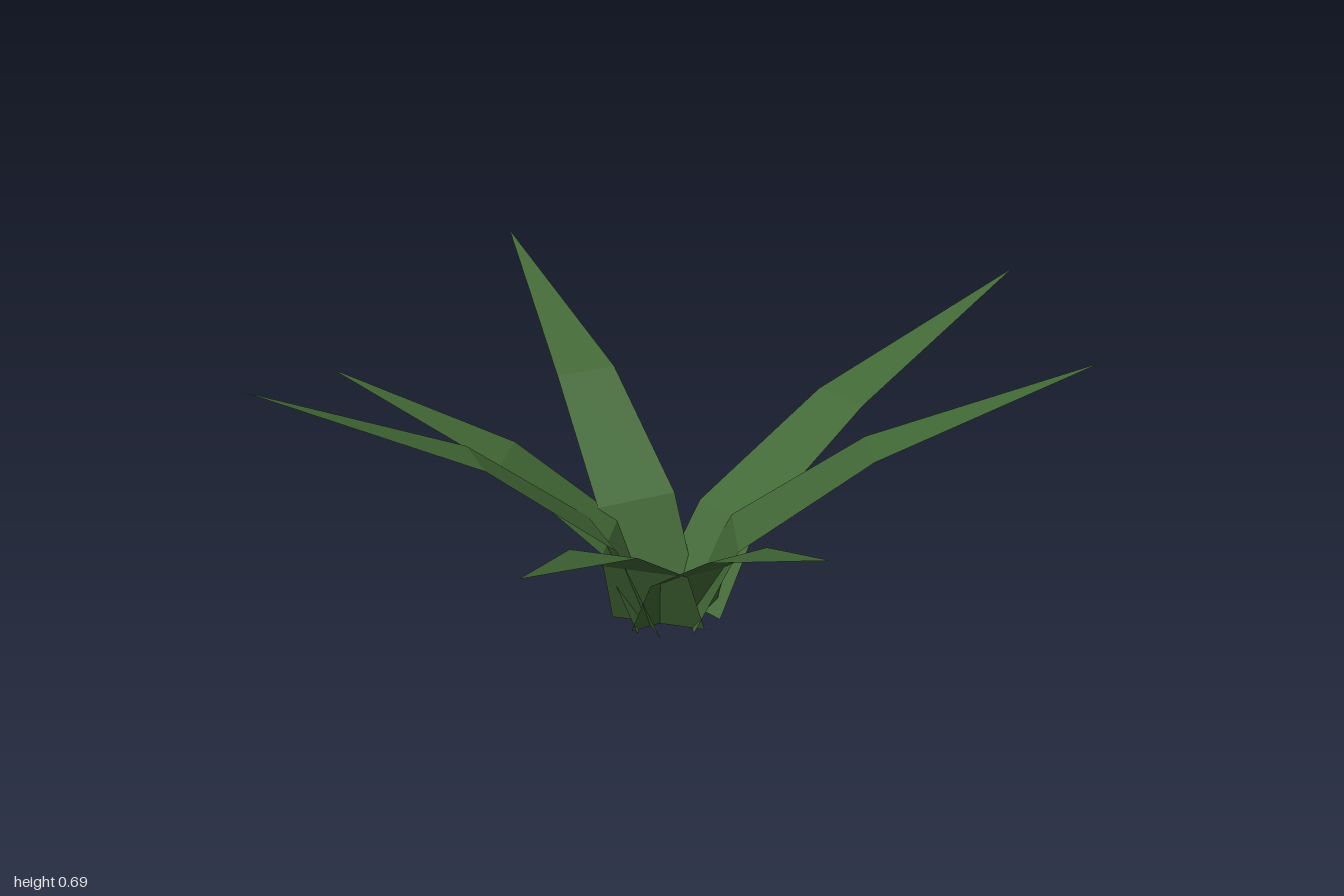
import * as THREE from 'three';

const leafGreen = new THREE.MeshStandardMaterial({ color: 0x436a37, side: THREE.DoubleSide, flatShading: true });
leafGreen.name = 'leafGreen';

// Where every leaf grows from (x, z)
const ROOT = { x: -0.16, z: 0.03 };

// Cross-sections from root to tip: [reach fraction, height fraction, half width]
const SECTIONS = [
  [0.06, 0, 0.11],
  [0.165, 0.335, 0.098],
  [0.475, 0.67, 0.074],
  [1, 1, 0],
];

// Tip of each leaf: x, y, z
const TIPS = [
  [0.27, 0.665, -0.785],
  [1.0, 0.575, 0.28],
  [0.46, 0.595, 0.78],
  [-0.43, 0.425, 0.64],
  [-1.0, 0.53, 0.335],
  [-0.93, 0.685, -0.45],
  [-0.51, 0.56, -0.64],
];

// A thin folded blade: two quads and a pointed end, top side facing up
function makeLeaf([x, y, z]) {
  const dx = x - ROOT.x, dz = z - ROOT.z;
  const length = Math.hypot(dx, dz);
  const sideX = -dz / length, sideZ = dx / length;
  const points = [], faces = [];
  SECTIONS.forEach(([reach, rise, half], i) => {
    for (const s of [-1, 1]) {
      points.push(ROOT.x + dx * reach + s * half * sideX, y * rise, ROOT.z + dz * reach + s * half * sideZ);
    }
    if (i === 0) return;
    const a = 2 * i - 2;
    faces.push(a, a + 1, a + 2);
    if (half > 0) faces.push(a + 1, a + 3, a + 2);
  });
  const geometry = new THREE.BufferGeometry();
  geometry.setAttribute('position', new THREE.Float32BufferAttribute(points, 3));
  geometry.setIndex(faces);
  const flat = geometry.toNonIndexed();
  flat.computeVertexNormals();
  return flat;
}

export function createModel() {
  const plant = new THREE.Group();
  plant.name = 'plant';
  TIPS.forEach((tip, i) => {
    const leaf = new THREE.Mesh(makeLeaf(tip), leafGreen);
    leaf.name = `leaf${i + 1}`;
    plant.add(leaf);
  });
  return plant;
}
